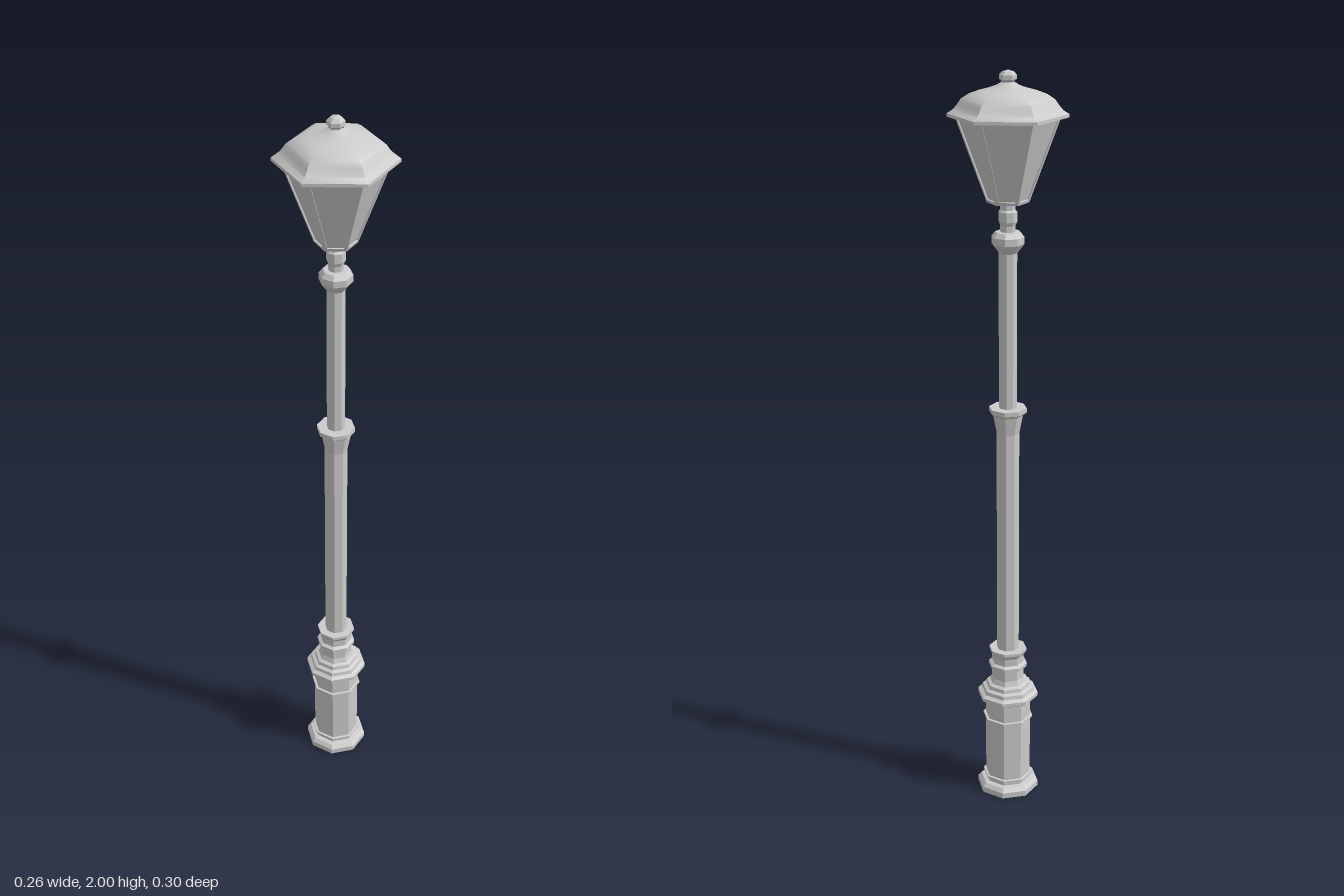
import * as THREE from 'three';
import { mergeVertices, toCreasedNormals } from 'three/addons/utils/BufferGeometryUtils.js';

const flat = new THREE.MeshStandardMaterial({ color: 0xcccccc, flatShading: true });
const smooth = new THREE.MeshStandardMaterial({ color: 0xcccccc });

// Octagonal turned part with flats to the front; profile is [half width, y] going up
function octagon(name, profile) {
  const k = 1 / Math.cos(Math.PI / 8);
  const points = profile.map(([w, y]) => new THREE.Vector2(w * k, y));
  const mesh = new THREE.Mesh(new THREE.LatheGeometry(points, 8, Math.PI / 8), flat);
  mesh.name = name;
  return mesh;
}

// Hexagonal turned part with corners to the front and back; profile is [corner radius, y]
function hexagon(name, profile, material = flat) {
  const points = profile.map(([r, y]) => new THREE.Vector2(r, y));
  let geometry = new THREE.LatheGeometry(points, 6);
  if (material === smooth) {
    geometry.deleteAttribute('normal');
    geometry.deleteAttribute('uv');
    geometry = toCreasedNormals(mergeVertices(geometry), 0.75);
  }
  const mesh = new THREE.Mesh(geometry, material);
  mesh.name = name;
  return mesh;
}

// One tapering frame around a lantern pane
function paneFrame(bottom, top, height) {
  const trapezoid = (Type, inset) => {
    const at = (y) => bottom + (top - bottom) * y / height - inset;
    const y0 = inset, y1 = height - inset;
    return new Type([[-at(y0), y0], [at(y0), y0], [at(y1), y1], [-at(y1), y1]]
      .map(([x, y]) => new THREE.Vector2(x, y)));
  };
  const shape = trapezoid(THREE.Shape, 0);
  shape.holes.push(trapezoid(THREE.Path, 0.008));
  const geometry = new THREE.ExtrudeGeometry(shape, { depth: 0.006, bevelEnabled: false });
  return geometry.translate(0, 0, -0.006);
}

export function createModel() {
  const lamp = new THREE.Group();
  lamp.name = 'streetLamp';

  // Pedestal: plinth, tall faceted body and stepped cap
  lamp.add(octagon('pedestal', [
    [0, 0], [0.079, 0], [0.079, 0.016], [0.07, 0.026], [0.058, 0.028],
    [0.058, 0.283], [0.068, 0.285], [0.078, 0.292], [0.078, 0.302], [0.068, 0.308],
    [0.066, 0.318], [0.057, 0.322], [0.055, 0.332], [0.046, 0.336], [0, 0.336],
  ]));

  // Thin bands around the pedestal body
  for (const y of [0.042, 0.226]) {
    lamp.add(octagon('pedestalBand', [
      [0.057, y - 0.004], [0.064, y - 0.003], [0.064, y + 0.003], [0.057, y + 0.004],
    ]));
  }

  // Waisted collar between pedestal and shaft
  lamp.add(octagon('collar', [
    [0.047, 0.334], [0.041, 0.35], [0.041, 0.378], [0.049, 0.382], [0.049, 0.392],
    [0.041, 0.397], [0.041, 0.418], [0.048, 0.43], [0.048, 0.438], [0, 0.438],
  ]));

  // Lower shaft with flared top
  lamp.add(octagon('lowerShaft', [
    [0.028, 0.436], [0.028, 1.07], [0.037, 1.12], [0.046, 1.128],
    [0.046, 1.14], [0, 1.14],
  ]));

  // Upper shaft with moulded capital
  lamp.add(octagon('upperShaft', [
    [0.022, 1.138], [0.022, 1.55], [0.032, 1.564], [0.039, 1.574],
    [0.039, 1.592], [0.03, 1.604], [0, 1.606],
  ]));

  // Neck carrying the lantern
  lamp.add(octagon('neck', [
    [0.018, 1.604], [0.018, 1.62], [0.022, 1.63], [0.022, 1.655], [0.018, 1.66], [0.018, 1.682],
  ]));

  // Lantern: inset panes, closed at the bottom
  lamp.add(hexagon('lanternPanes', [[0, 1.68], [0.049, 1.68], [0.126, 1.888]]));

  // Lantern frames, one per side
  const y0 = 1.678, y1 = 1.888, r0 = 0.053, r1 = 0.13;
  const apothem = Math.cos(Math.PI / 6);
  const spread = (r1 - r0) * apothem;
  const frame = paneFrame(r0 / 2, r1 / 2, Math.hypot(spread, y1 - y0));
  for (let i = 0; i < 6; i++) {
    const side = new THREE.Group();
    side.name = 'lanternSide';
    side.rotation.y = Math.PI / 6 + i * Math.PI / 3;
    const mesh = new THREE.Mesh(frame, flat);
    mesh.name = 'paneFrame';
    mesh.position.set(0, y0, r0 * apothem);
    mesh.rotation.x = Math.atan2(spread, y1 - y0);
    side.add(mesh);
    lamp.add(side);
  }

  // Roof: flared eaves rising to a shallow dome
  lamp.add(hexagon('roof', [
    [0, 1.887], [0.15, 1.887], [0.15, 1.895], [0.135, 1.904], [0.124, 1.917], [0.115, 1.93],
    [0.095, 1.943], [0.07, 1.952], [0.045, 1.958], [0.028, 1.964], [0.018, 1.97],
  ], smooth));

  // Finial
  lamp.add(hexagon('finial', [
    [0.017, 1.965], [0.016, 1.972], [0.022, 1.978], [0.022, 1.988], [0.014, 1.996], [0, 2],
  ]));

  return lamp;
}
